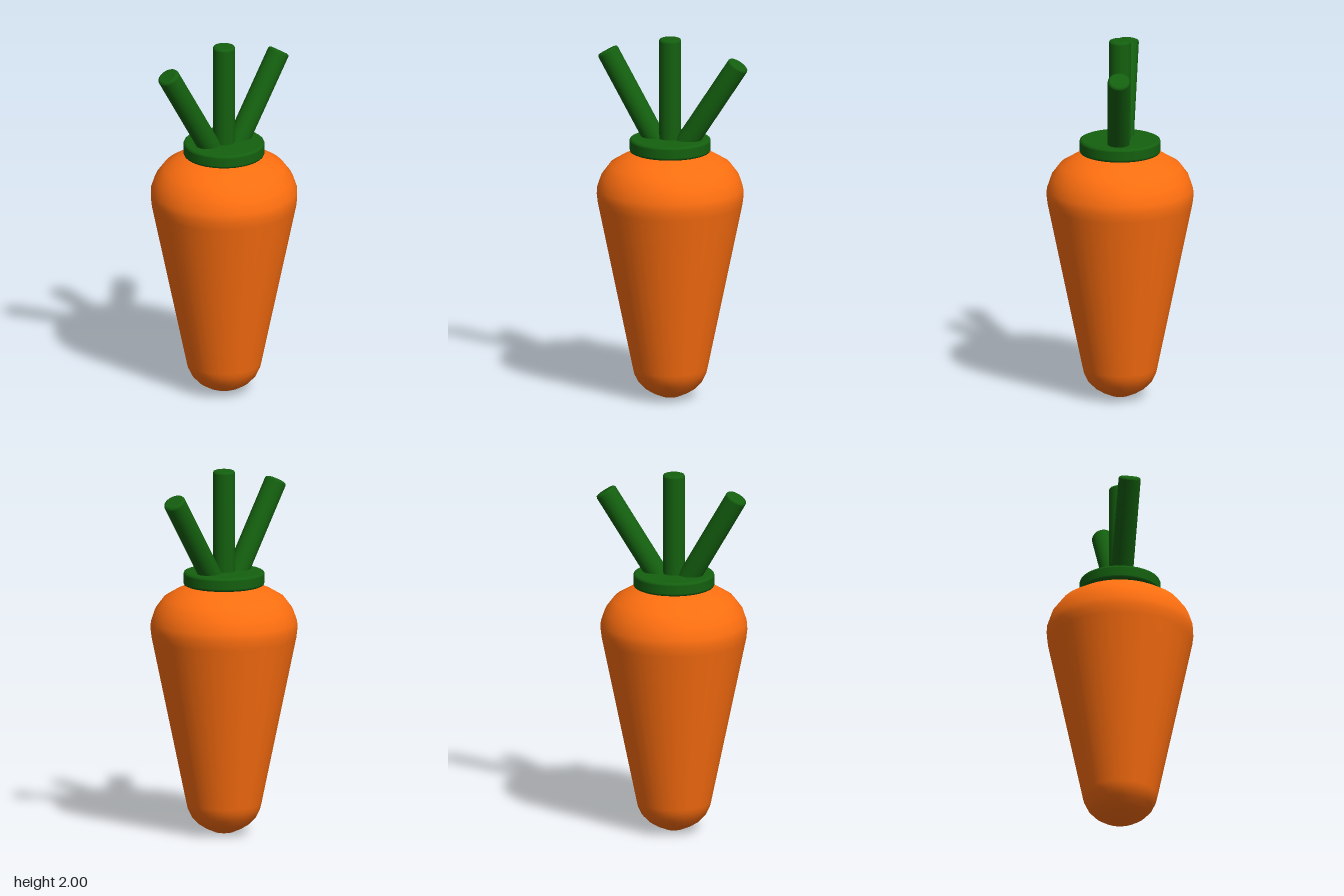
import * as THREE from 'three';

const orange = new THREE.MeshStandardMaterial({ color: 0xff6f10 });
const green = new THREE.MeshStandardMaterial({ color: 0x14600f });

// Smooth turned part from [radius, height] pairs, bottom to top
function turned(name, profile, sides, material) {
  const points = profile.map(([r, y]) => new THREE.Vector2(r, y));
  const mesh = new THREE.Mesh(new THREE.LatheGeometry(points, sides), material);
  mesh.name = name;
  return mesh;
}

// Closed disc or rod with softly bevelled rims; support loops keep the faces flat
function bevelledRod(name, radius, height, bevel, sides) {
  const b = bevel, k = bevel * 0.3;
  return turned(name, [
    [0, 0], [radius - b * 1.2, 0], [radius - b, 0], [radius - k, k], [radius, b], [radius, b * 1.2],
    [radius, height - b * 1.2], [radius, height - b], [radius - k, height - k],
    [radius - b, height], [radius - b * 1.2, height], [0, height],
  ], sides, green);
}

// Stalk running between two points
function stalk(name, from, to) {
  const start = new THREE.Vector3(...from);
  const axis = new THREE.Vector3(...to).sub(start);
  const mesh = bevelledRod(name, 0.06, axis.length(), 0.012, 32);
  mesh.position.copy(start);
  mesh.quaternion.setFromUnitVectors(new THREE.Vector3(0, 1, 0), axis.normalize());
  return mesh;
}

export function createModel() {
  const group = new THREE.Group();
  group.name = 'carrot';

  // Tapered root with rounded tip and shoulder
  const root = turned('root', [
    [0, 0], [0.05, 0.008], [0.1, 0.03], [0.14, 0.055], [0.175, 0.092], [0.196, 0.135], [0.203, 0.165],
    [0.392, 1.08], [0.398, 1.13], [0.396, 1.17], [0.374, 1.235], [0.327, 1.298],
    [0.26, 1.338], [0.19, 1.365], [0.1, 1.38], [0, 1.385],
  ], 32, orange);

  // Leaf collar
  const collar = bevelledRod('collar', 0.22, 0.075, 0.012, 32);
  collar.position.y = 1.37;

  group.add(
    root,
    collar,
    stalk('centreStalk', [0, 1.385, 0], [0, 2, 0]),
    stalk('rightStalk', [-0.06, 1.38, 0], [-0.363, 1.905, 0.03]),
    stalk('leftStalk', [0.065, 1.385, -0.005], [0.378, 1.88, -0.07]),
  );
  for (const part of group.children) part.position.x -= 0.003;
  return group;
}
